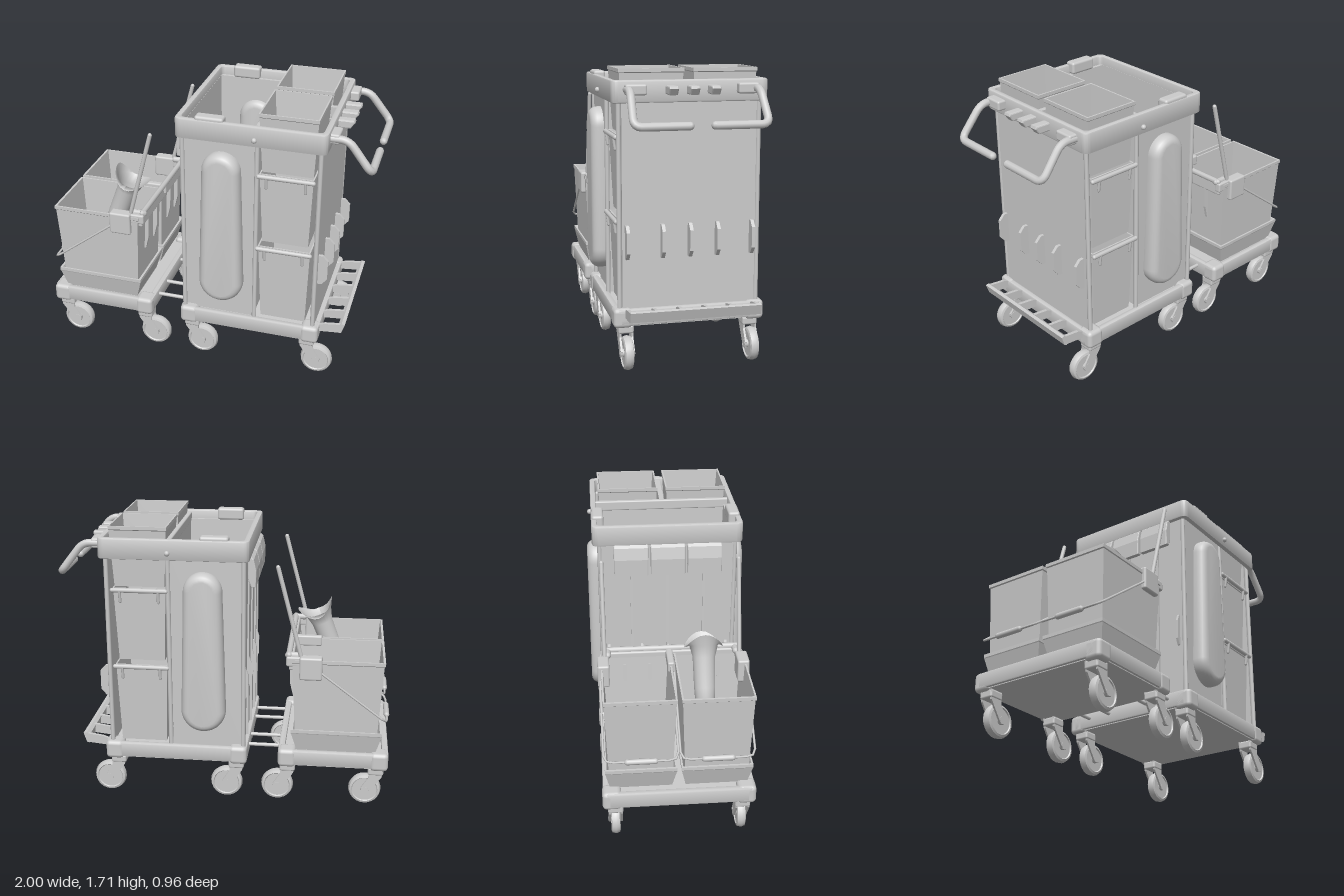
import * as THREE from 'three';
import { RoundedBoxGeometry } from 'three/addons/geometries/RoundedBoxGeometry.js';
import { toCreasedNormals } from 'three/addons/utils/BufferGeometryUtils.js';

const mat = new THREE.MeshStandardMaterial({ color: 0xcccccc, side: THREE.DoubleSide });
const V = (x, y, z) => new THREE.Vector3(x, y, z);
const SIDES = [1, -1];

export function createModel() {
  const root = new THREE.Group();

  const add = (name, geo, x = 0, y = 0, z = 0, parent = root) => {
    const m = new THREE.Mesh(geo, mat);
    m.name = name;
    m.position.set(x, y, z);
    parent.add(m);
    return m;
  };
  // Box given by its min and max on each axis
  const box = (name, x0, x1, y0, y1, z0, z1, r = 0) => {
    const s = [x1 - x0, y1 - y0, z1 - z0];
    const g = r ? new RoundedBoxGeometry(...s, 2, r) : new THREE.BoxGeometry(...s);
    return add(name, g, (x0 + x1) / 2, (y0 + y1) / 2, (z0 + z1) / 2);
  };
  // Round bar through points with straight runs
  const bar = (name, pts, r, seg = 8) => {
    const path = new THREE.CurvePath();
    let prev = pts[0];
    for (let i = 1; i < pts.length; i++) {
      const p = pts[i], last = i === pts.length - 1;
      const cut = Math.min(0.05, p.distanceTo(pts[i - 1]) * 0.4);
      const a = last ? p : p.clone().lerp(pts[i - 1], cut / p.distanceTo(pts[i - 1]));
      path.add(new THREE.LineCurve3(prev, a));
      if (last) break;
      const b = p.clone().lerp(pts[i + 1], Math.min(0.4, 0.05 / p.distanceTo(pts[i + 1])));
      path.add(new THREE.QuadraticBezierCurve3(a, p, b));
      prev = b;
    }
    add(name, new THREE.TubeGeometry(path, pts.length > 2 ? 40 : 1, r, seg));
    for (const p of [pts[0], pts[pts.length - 1]]) add(name + 'End', new THREE.SphereGeometry(r, seg, 6), p.x, p.y, p.z);
  };
  // Open rectangular container: top extents, taper factor at the bottom, lip around the top
  const bin = (name, x0, x1, y0, y1, z0, z1, taper = 0.9, lip = 0.025) => {
    const q = Math.SQRT2, h = y1 - y0, t = 0.05;
    const pts = [[0, 0], [taper, 0], [1 - lip, h - 0.025], [1, h - 0.02], [1, h], [1 - t, h], [taper - t, 0.015], [0, 0.015]]
      .map(([r, y]) => new THREE.Vector2(r * q, y));
    let g = new THREE.LatheGeometry(pts, 4);
    g.rotateY(Math.PI / 4);
    g.scale((x1 - x0) / 2, 1, (z1 - z0) / 2);
    g = g.toNonIndexed();
    g.computeVertexNormals();
    return add(name, g, (x0 + x1) / 2, y0, (z0 + z1) / 2);
  };
  // Profile in x,y extruded along z and centred on z
  const slab = (name, pts, depth, z, bevel = 0) => {
    const g = new THREE.ExtrudeGeometry(new THREE.Shape(pts.map((p) => new THREE.Vector2(...p))), {
      depth: depth - 2 * bevel, bevelEnabled: bevel > 0, bevelSize: bevel, bevelThickness: bevel, bevelOffset: -bevel, bevelSegments: 2,
    });
    return add(name, g, 0, 0, z - depth / 2 + bevel);
  };
  const rectPath = (P, x0, x1, z0, z1, r) => {
    const s = new P();
    s.moveTo(x0 + r, z0);
    s.lineTo(x1 - r, z0); s.quadraticCurveTo(x1, z0, x1, z0 + r);
    s.lineTo(x1, z1 - r); s.quadraticCurveTo(x1, z1, x1 - r, z1);
    s.lineTo(x0 + r, z1); s.quadraticCurveTo(x0, z1, x0, z1 - r);
    s.lineTo(x0, z0 + r); s.quadraticCurveTo(x0, z0, x0 + r, z0);
    return s;
  };
  // Upright rectangular ring
  const ring = (name, x0, x1, y0, y1, zh, w) => {
    const s = rectPath(THREE.Shape, x0, x1, -zh, zh, 0.04);
    s.holes.push(rectPath(THREE.Path, x0 + w, x1 - w, -zh + w, zh - w, 0.03));
    const g = new THREE.ExtrudeGeometry(s, { depth: y1 - y0 - 0.02, bevelSize: 0.01, bevelThickness: 0.01, bevelOffset: -0.01, bevelSegments: 2 });
    g.rotateX(-Math.PI / 2);
    add(name, toCreasedNormals(g, 0.6), 0, y0 + 0.01, 0);
  };

  // Swivel casters: wheel, hub, fork cheeks and mount
  const caster = (x, z) => {
    const prof = [[0, -0.02], [0.075, -0.02], [0.08, -0.027], [0.093, -0.022], [0.1, 0], [0.093, 0.022], [0.08, 0.027], [0.075, 0.02], [0, 0.02]];
    const w = new THREE.LatheGeometry(prof.map((p) => new THREE.Vector2(...p)), 24);
    w.rotateX(Math.PI / 2);
    add('casterWheel', toCreasedNormals(w, 0.7), x, 0.105, z);
    const hub = new THREE.CylinderGeometry(0.025, 0.025, 0.085, 12);
    hub.rotateX(Math.PI / 2);
    add('casterHub', hub, x, 0.105, z);
    for (const s of SIDES) {
      slab('casterFork', [[x - 0.11, 0.26], [x - 0.1, 0.2], [x - 0.015, 0.08], [x + 0.02, 0.085], [x + 0.025, 0.12], [x - 0.02, 0.19], [x - 0.02, 0.26]], 0.012, z + s * 0.035);
    }
    box('casterMount', x - 0.11, x - 0.015, 0.21, 0.26, z - 0.045, z + 0.045, 0.012);
  };

  // Wheeled bases with raised edges and corner blocks
  const base = (x0, x1, wheels) => {
    box('basePlate', x0 + 0.015, x1 - 0.015, 0.26, 0.335, -0.425, 0.425);
    ring('baseEdge', x0, x1, 0.265, 0.36, 0.44, 0.04);
    for (const s of SIDES) for (const [a, b] of [[x0, x0 + 0.11], [x1 - 0.11, x1]]) {
      box('baseCorner', a, b, 0.25, 0.365, s * 0.39 - 0.055, s * 0.39 + 0.055, 0.025);
    }
    for (const x of wheels) for (const s of SIDES) caster(x, s * 0.37);
  };
  base(-0.14, 0.74, [-0.01, 0.73]);
  base(-1, -0.33, [-0.866, -0.326]);
  for (const z of [-0.29, -0.14, 0.14, 0.29]) bar('couplingRod', [V(-0.36, 0.325, z), V(-0.11, 0.325, z)], 0.012);

  // Main cabinet: bag, end panel, posts and top rim
  bin('bagCompartment', -0.125, 0.33, 0.35, 1.6, -0.41, 0.41, 0.95, 0.005);
  box('endPanel', 0.69, 0.71, 0.35, 1.56, -0.39, 0.39);
  box('centreWall', 0.33, 0.69, 0.35, 1.56, -0.008, 0.008);
  ring('topRim', -0.15, 0.74, 1.53, 1.655, 0.45, 0.035);
  box('rimDivider', 0.315, 0.345, 1.58, 1.64, -0.43, 0.43, 0.008);
  box('rimCrossbar', 0.33, 0.72, 1.58, 1.64, -0.015, 0.015);
  for (const s of SIDES) {
    for (const x of [0.332, 0.699, -0.115]) bar('cornerPost', [V(x, 0.33, s * 0.405), V(x, 1.56, s * 0.405)], 0.014);
    box('rimClip', -0.03, 0.14, 1.6, 1.675, s * 0.41 - 0.035, s * 0.41 + 0.035, 0.015);
    add('rimKnob', new THREE.SphereGeometry(0.016, 10, 8), 0.325, 1.575, s * 0.456);

    // Bulging side pocket, fullest above the middle
    const st = new THREE.Shape();
    st.absarc(0.125, 1.345, 0.115, 0, Math.PI);
    st.absarc(0.125, 0.6, 0.135, Math.PI, Math.PI * 2);
    const g = new THREE.ExtrudeGeometry(st, { depth: 0.02, bevelThickness: 0.055, bevelSize: 0.045, bevelOffset: -0.045, bevelSegments: 5, curveSegments: 16 });
    const pocket = add('sidePocket', toCreasedNormals(g, 0.9), 0, 0, s * 0.405);
    if (s < 0) pocket.position.z -= 0.02;

    // Stacked bins with handle rails
    const zs = (a, b) => (s > 0 ? [a, b] : [-b, -a]);
    for (const [y0, y1, x0, x1] of [[1.35, 1.715, 0.335, 0.68], [0.89, 1.345, 0.345, 0.665], [0.36, 0.865, 0.345, 0.665]]) {
      bin('storageBin', x0, x1, y0, y1, ...zs(0.025, 0.4), 0.87);
      if (y1 > 1.5) continue;
      bar('binRail', [V(x0, y1 - 0.01, s * 0.415), V(x1, y1 - 0.01, s * 0.415)], 0.014);
      for (const x of [x0 + 0.045, x1 - 0.045]) bar('railClip', [V(x, y1 - 0.01, s * 0.42), V(x, y1 - 0.08, s * 0.41)], 0.009, 6);
    }

    // Push handles
    bar('pushHandle', [V(0.72, 1.605, s * 0.365), V(0.84, 1.605, s * 0.365), V(0.98, 1.425, s * 0.375), V(0.98, 1.425, s * 0.07)], 0.023, 10);
    box('handleBracket', 0.73, 0.79, 1.575, 1.635, s * 0.32 - 0.06, s * 0.32 + 0.06, 0.012);
  }
  for (const z of [-0.12, 0, 0.12]) {
    slab('toolHook', [[0.73, 1.575], [0.81, 1.575], [0.835, 1.61], [0.83, 1.625], [0.73, 1.625]], 0.055, z, 0.008);
  }
  // Tool holder fins on the end panel and the bag side
  for (const z of [-0.365, -0.16, 0, 0.16, 0.365]) {
    slab('panelFin', [[0.7, 0.65], [0.735, 0.65], [0.768, 0.69], [0.768, 0.81], [0.735, 0.845], [0.7, 0.845]], 0.02, z);
    slab('bagFin', [[-0.11, 0.66], [-0.125, 0.66], [-0.14, 0.7], [-0.14, 0.82], [-0.125, 0.86], [-0.11, 0.86]], 0.015, z);
  }
  for (const z of [-0.22, 0, 0.22]) {
    slab('bagClamp', [[-0.13, 1.55], [-0.165, 1.52], [-0.18, 1.45], [-0.178, 1.35], [-0.15, 1.35], [-0.13, 1.4]], 0.205, z, 0.006);
    box('bagRib', -0.13, -0.113, 0.36, 1.4, z - 0.006, z + 0.006);
  }
  // Sloped end tray with ribs
  slab('trayLip', [[0.86, 0.32], [0.875, 0.325], [0.895, 0.385], [0.875, 0.39], [0.855, 0.375]], 0.76, 0);
  for (const z of [-0.37, -0.22, -0.075, 0.075, 0.22, 0.37]) {
    slab('trayRib', [[0.72, 0.31], [0.87, 0.325], [0.885, 0.385], [0.77, 0.37], [0.72, 0.35]], 0.02, z);
  }

  // Mop buckets in their trays, each with a wire bail
  for (const s of SIDES) {
    const [z0, z1] = s > 0 ? [0.012, 0.425] : [-0.425, -0.012];
    bin('bucketTray', -0.955, -0.405, 0.355, 0.495, z0, z1, 0.87, 0.01);
    bin('bucket', -0.955, -0.4, 0.4, 0.945, z0, z1, 0.88);
    const a = z0 - 0.006, b = z1 + 0.006;
    bar('bucketBail', [V(-0.5, 0.93, a), V(-0.98, 0.57, a), V(-0.98, 0.57, b), V(-0.5, 0.93, b)], 0.007, 6);
    bar('bailGrip', [V(-0.98, 0.57, (z0 + z1) / 2 - 0.08), V(-0.98, 0.57, (z0 + z1) / 2 + 0.08)], 0.017);
    // Side clamp and pole
    box('poleClamp', -0.585, -0.45, 0.825, 0.965, s * 0.41 - 0.035, s * 0.41 + 0.035, 0.012);
    box('clampArm', -0.46, -0.37, 0.9, 0.96, s * 0.4 - 0.02, s * 0.4 + 0.02, 0.01);
    bar('pole', [V(-0.465, 0.93, s * 0.4), V(-0.313, 1.5, s * 0.4)], 0.013);
    bar('lever', [V(-0.44, 0.96, s * 0.38), V(-0.38, 0.96, s * 0.38)], 0.02);
  }
  box('bucketBeam', -0.415, -0.385, 0.87, 0.96, -0.4, 0.4, 0.01);
  bar('beamRail', [V(-0.385, 0.965, -0.39), V(-0.385, 0.965, 0.39)], 0.018);
  box('bucketClip', -0.57, -0.37, 0.9, 0.965, -0.035, 0.005, 0.01);
  for (const z of [-0.28, -0.13, 0.13, 0.28]) {
    slab('bucketFin', [[-0.43, 0.65], [-0.41, 0.66], [-0.39, 0.74], [-0.385, 0.88], [-0.42, 0.88]], 0.018, z);
  }

  // Wringer funnel with a scalloped, flared mouth
  const prof = [[0, 0], [0.055, 0], [0.062, 0.12], [0.066, 0.3], [0.085, 0.37], [0.115, 0.43]];
  const funnel = new THREE.LatheGeometry(prof.map((p) => new THREE.Vector2(...p)), 24);
  const p = funnel.attributes.position;
  for (let i = 0; i < p.count; i++) {
    if (p.getY(i) > 0.4) p.setY(i, p.getY(i) - 0.035 + 0.04 * Math.cos(2 * Math.atan2(p.getZ(i), p.getX(i))));
  }
  funnel.computeVertexNormals();
  const wringer = add('wringerFunnel', funnel, -0.675, 0.72, 0.175);
  wringer.rotation.z = -0.38;

  return root;
}
